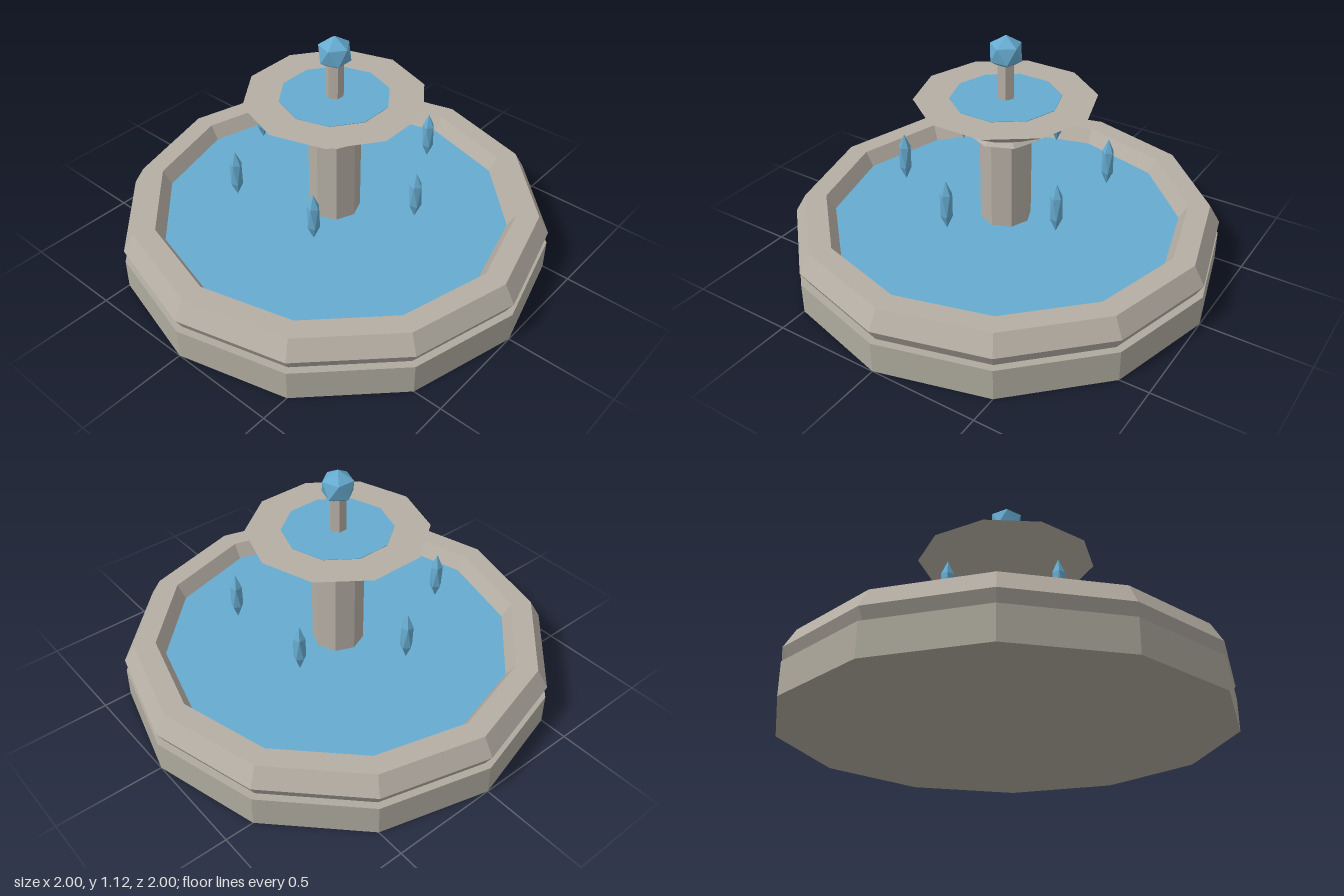
import * as THREE from 'three';

const flat = (name, color) => {
  const m = new THREE.MeshStandardMaterial({ color });
  m.name = name;
  return m;
};

export function createModel() {
  const group = new THREE.Group();
  group.name = 'fountain';
  const stone = flat('stone', 0xb5aea4);
  const baseStone = flat('base stone', 0xaeaa9e);
  const water = flat('water', 0x66abd0);

  // Non-indexed geometry with per-face normals gives the faceted look
  const add = (name, geometry, material, x = 0, y = 0, z = 0) => {
    const g = geometry.index ? geometry.toNonIndexed() : geometry;
    g.computeVertexNormals();
    const mesh = new THREE.Mesh(g, material);
    mesh.name = name;
    mesh.position.set(x, y, z);
    group.add(mesh);
    return mesh;
  };
  // Prism or cone section standing between two heights
  const prism = (name, material, rTop, rBottom, y0, y1, sides) =>
    add(name, new THREE.CylinderGeometry(rTop, rBottom, y1 - y0, sides), material, 0, (y0 + y1) / 2);
  // Icosahedron standing on a corner, stretched upward
  const gem = (radius, halfHeight) =>
    new THREE.IcosahedronGeometry(1, 0)
      .rotateZ(-Math.atan(2 / (1 + Math.sqrt(5))))
      .scale(radius, halfHeight, radius);

  // Basin
  prism('basinBase', baseStone, 1, 1, 0, 0.145, 12);
  add('basinRim', new THREE.TorusGeometry(0.9, 0.1, 6, 12).rotateX(Math.PI / 2), stone, 0, 0.205);
  prism('basinWater', water, 0.84, 0.84, 0.15, 0.222, 12);

  // Central column and upper bowl
  prism('column', stone, 0.12, 0.12, 0.145, 0.67, 8);
  prism('collar', stone, 0.14, 0.17, 0.66, 0.69, 8);
  prism('bowl', stone, 0.41, 0.16, 0.685, 0.83, 10);
  prism('bowlWater', water, 0.25, 0.25, 0.828, 0.832, 10);
  prism('stem', stone, 0.04, 0.04, 0.83, 1.0, 6);
  add('finial', gem(0.08, 0.08), water, 0, 1.045);

  // Ring of falling drops
  for (let i = 0; i < 6; i++) {
    const a = (i * Math.PI) / 3;
    add('drop', gem(0.031, 0.115), water, 0.463 * Math.cos(a), 0.515, 0.463 * Math.sin(a));
  }
  return group;
}
